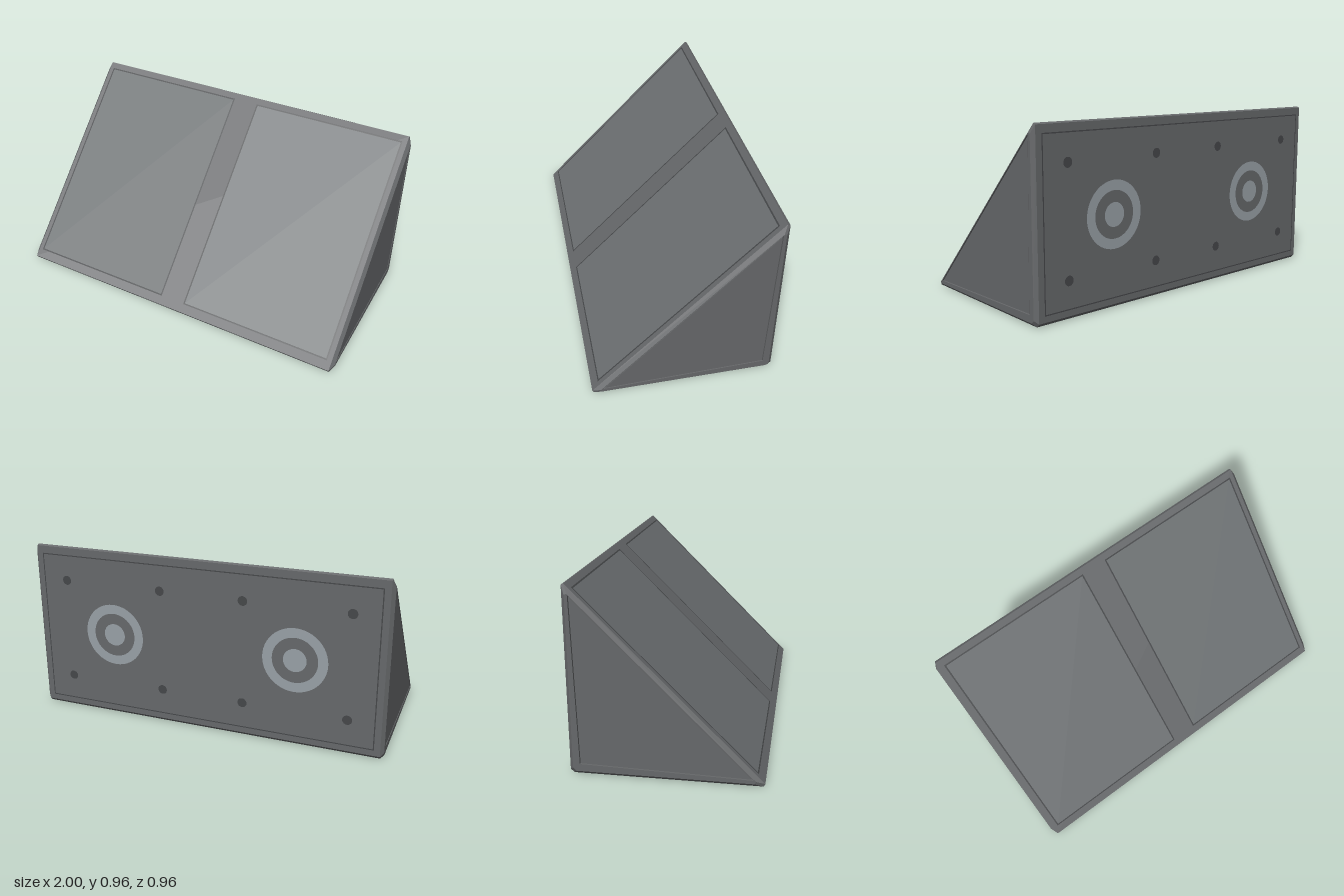
import * as THREE from 'three';

const mat = (name, color) => {
  const m = new THREE.MeshStandardMaterial({ color });
  m.name = name;
  return m;
};

export function createModel() {
  const bodyGrey = mat('body grey', 0x66686a);
  const panelGrey = mat('panel grey', 0x6c7072);
  const grooveGrey = mat('groove dark grey', 0x454749);
  const steel = mat('light steel', 0x98a0a6);
  const model = new THREE.Group();
  model.name = 'wedgeBlock';

  const add = (parent, name, geo, material, x = 0, y = 0, z = 0) => {
    const mesh = new THREE.Mesh(geo, material);
    mesh.name = name;
    mesh.position.set(x, y, z);
    parent.add(mesh);
    return mesh;
  };

  // Hollow wedge: cross-sections as [z, y], lofted along x with chamfered ends
  const outer = [[0.478, 0.014], [-0.465, 0.957], [-0.478, 0.95], [-0.478, 0.018], [-0.46, 0], [0.47, 0]];
  const centre = [-0.198, 0.28];
  const scaled = (pts, s) => pts.map(p => p.map((v, i) => centre[i] + (v - centre[i]) * s));
  const tri = [[0.424, 0.036], [-0.445, 0.908], [-0.425, 0.056]];
  const hole = [tri[0], tri[1], tri[1], tri[2], tri[2], tri[0]];
  const inset = scaled(outer, 0.936);
  const rings = [[-1, hole], [-1, inset], [-0.982, outer], [0.982, outer], [1, inset], [1, hole]];
  const pos = [];
  const n = outer.length;
  rings.forEach(([x0, r0], i) => {
    const [x1, r1] = rings[(i + 1) % rings.length];
    for (let j = 0; j < n; j++) {
      const k = (j + 1) % n;
      const a = [x0, r0[j][1], r0[j][0]], b = [x0, r0[k][1], r0[k][0]];
      const c = [x1, r1[k][1], r1[k][0]], d = [x1, r1[j][1], r1[j][0]];
      pos.push(...a, ...d, ...c, ...a, ...c, ...b);
    }
  });
  const body = new THREE.BufferGeometry();
  body.setAttribute('position', new THREE.Float32BufferAttribute(pos, 3));
  body.computeVertexNormals();
  add(model, 'wedgeBody', body, bodyGrey);

  // Triangular side panels, fitted with a narrow gap
  const sideShape = new THREE.Shape(scaled(tri, 0.982).map(p => new THREE.Vector2(...p)));
  const sideGeo = new THREE.ExtrudeGeometry(sideShape, { depth: 0.01, bevelEnabled: false });
  sideGeo.rotateY(-Math.PI / 2);
  add(model, 'leftSidePanel', sideGeo, bodyGrey, 0.998);
  add(model, 'rightSidePanel', sideGeo, bodyGrey, -0.988);

  // Rectangular outline of given width
  const rect = (w, h, P) => new P([[-1, -1], [1, -1], [1, 1], [-1, 1]]
    .map(([x, y]) => new THREE.Vector2(x * w / 2, y * h / 2)));
  const outline = (w, h, t) => {
    const s = rect(w, h, THREE.Shape);
    s.holes.push(rect(w - 2 * t, h - 2 * t, THREE.Path));
    return new THREE.ShapeGeometry(s);
  };
  const face = (name, y, z, rx, ry) => {
    const g = new THREE.Group();
    g.name = name;
    g.position.set(0, y, z);
    g.rotation.set(rx, ry, 0);
    model.add(g);
    return g;
  };

  // Sloping front with two square panels
  const slope = face('slopingFront', 0.49, 0.002, -Math.PI / 4, 0);
  for (const s of [-1, 1]) {
    add(slope, 'slopePanel', new THREE.PlaneGeometry(0.868, 1.232), panelGrey, s * 0.515, 0, 0.002);
    add(slope, 'panelGroove', outline(0.884, 1.248, 0.008), grooveGrey, s * 0.515, 0, 0.002);
  }

  // Back and base: edge groove, ringed discs and screw holes
  const faces = [
    face('backFace', 0.48, -0.478, 0, Math.PI),
    face('baseFace', 0, 0, Math.PI / 2, 0)
  ];
  for (const f of faces) {
    add(f, 'edgeGroove', outline(1.9, 0.86, 0.006), grooveGrey, 0, 0, 0.002);
    for (const s of [-1, 1]) {
      const x = s * 0.52;
      add(f, 'outerRing', new THREE.RingGeometry(0.123, 0.175, 48), steel, x, 0, 0.002);
      add(f, 'centreDisc', new THREE.CircleGeometry(0.063, 32), steel, x, 0, 0.002);
      for (const dx of [-0.285, 0.285]) for (const dy of [-0.285, 0.285]) {
        add(f, 'screwHole', new THREE.CircleGeometry(0.026, 20), grooveGrey, x + dx, dy, 0.002);
      }
    }
  }
  return model;
}
